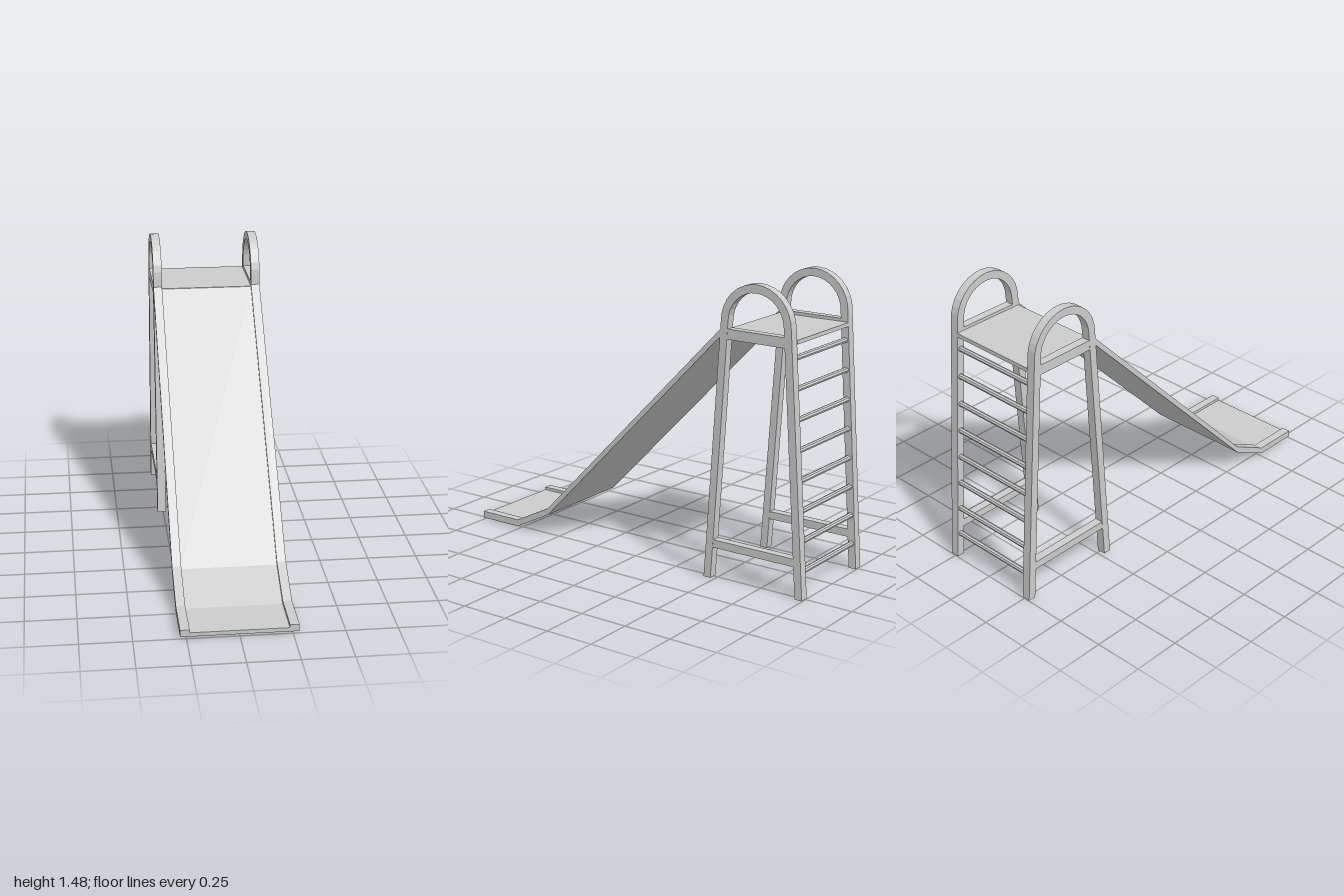
import * as THREE from 'three';

const material = new THREE.MeshStandardMaterial({ color: 0xcccccc, flatShading: true, side: THREE.DoubleSide });
const RAIL = 0.045;      // width of frame and rims
const RAIL_X = 0.2575;   // centre line of each side frame
const MID_Z = -0.717;    // middle of the tower

// Extrudes a side outline of [z, y] points across x, centred on the given x.
function sidePlate(name, points, width, x) {
  const shape = new THREE.Shape(points.map(([z, y]) => new THREE.Vector2(z, y)));
  const geometry = new THREE.ExtrudeGeometry(shape, { depth: width, bevelEnabled: false });
  geometry.translate(0, 0, -width / 2);
  geometry.rotateY(-Math.PI / 2);
  const mesh = new THREE.Mesh(geometry, material);
  mesh.name = name;
  mesh.position.x = x;
  return mesh;
}

// Closed strip that follows a [z, y] path and rises by a vertical thickness.
function strip(path, thickness) {
  return [...path, ...path.map(([z, y]) => [z, y + thickness]).reverse()];
}

// Half the tower depth at a given height, along the centre of the leaning legs.
const legOffset = (y) => 0.26 - 0.068 * y;

// Half outline of a hoop: foot, arch, foot, shifted in or out by d.
function hoopEdge(d) {
  const springY = 1.29, radius = legOffset(springY) + d, steps = 16;
  const points = [[MID_Z + legOffset(0) + d, 0]];
  for (let i = 0; i <= steps; i++) {
    const a = (Math.PI * i) / steps;
    points.push([MID_Z + radius * Math.cos(a), springY + radius * Math.sin(a)]);
  }
  points.push([MID_Z - legOffset(0) - d, 0]);
  return points;
}

// Level bar between the front and back legs.
function brace(name, y0, y1, x) {
  const a = legOffset(y0), b = legOffset(y1);
  return sidePlate(name, [
    [MID_Z - a, y0], [MID_Z + a, y0], [MID_Z + b, y1], [MID_Z - b, y1],
  ], RAIL - 0.002, x);
}

export function createModel() {
  const model = new THREE.Group();
  model.name = 'playgroundSlide';

  // Slide chute: bed and raised rims
  const chute = new THREE.Group();
  chute.name = 'chute';
  const path = [[1, 0.01], [0.76, 0.01], [0.55, 0.116], [-0.525, 1.218]];
  chute.add(sidePlate('slideBed', strip(path, 0.02), 2 * RAIL_X - RAIL, 0));
  for (const side of [-1, 1]) {
    chute.add(sidePlate('slideRim', strip(path, 0.035), RAIL, side * RAIL_X));
  }
  model.add(chute);

  // Side frames: legs running into the arched handrail, with braces
  for (const side of [-1, 1]) {
    const frame = new THREE.Group();
    frame.name = side > 0 ? 'leftFrame' : 'rightFrame';
    const x = side * RAIL_X;
    frame.add(sidePlate('legsAndHandrail', [...hoopEdge(0.02), ...hoopEdge(-0.02).reverse()], RAIL, x));
    frame.add(brace('lowerBrace', 0.16, 0.2, x));
    frame.add(brace('platformBeam', 1.205, 1.255, x));
    model.add(frame);
  }

  // Platform
  const platform = new THREE.Mesh(new THREE.BoxGeometry(2 * RAIL_X - RAIL, 0.02, 0.39), material);
  platform.name = 'platform';
  platform.position.set(0, 1.23, -0.72);
  model.add(platform);

  // Ladder rungs between the back legs
  const ladder = new THREE.Group();
  ladder.name = 'ladder';
  const rungGeometry = new THREE.CylinderGeometry(0.014, 0.014, 2 * RAIL_X - RAIL + 0.02, 8).rotateZ(Math.PI / 2);
  for (let i = 0; i < 8; i++) {
    const y = 0.13 + i * 0.146;
    const rung = new THREE.Mesh(rungGeometry, material);
    rung.name = 'rung';
    rung.position.set(0, y, MID_Z - legOffset(y));
    ladder.add(rung);
  }
  model.add(ladder);

  return model;
}
